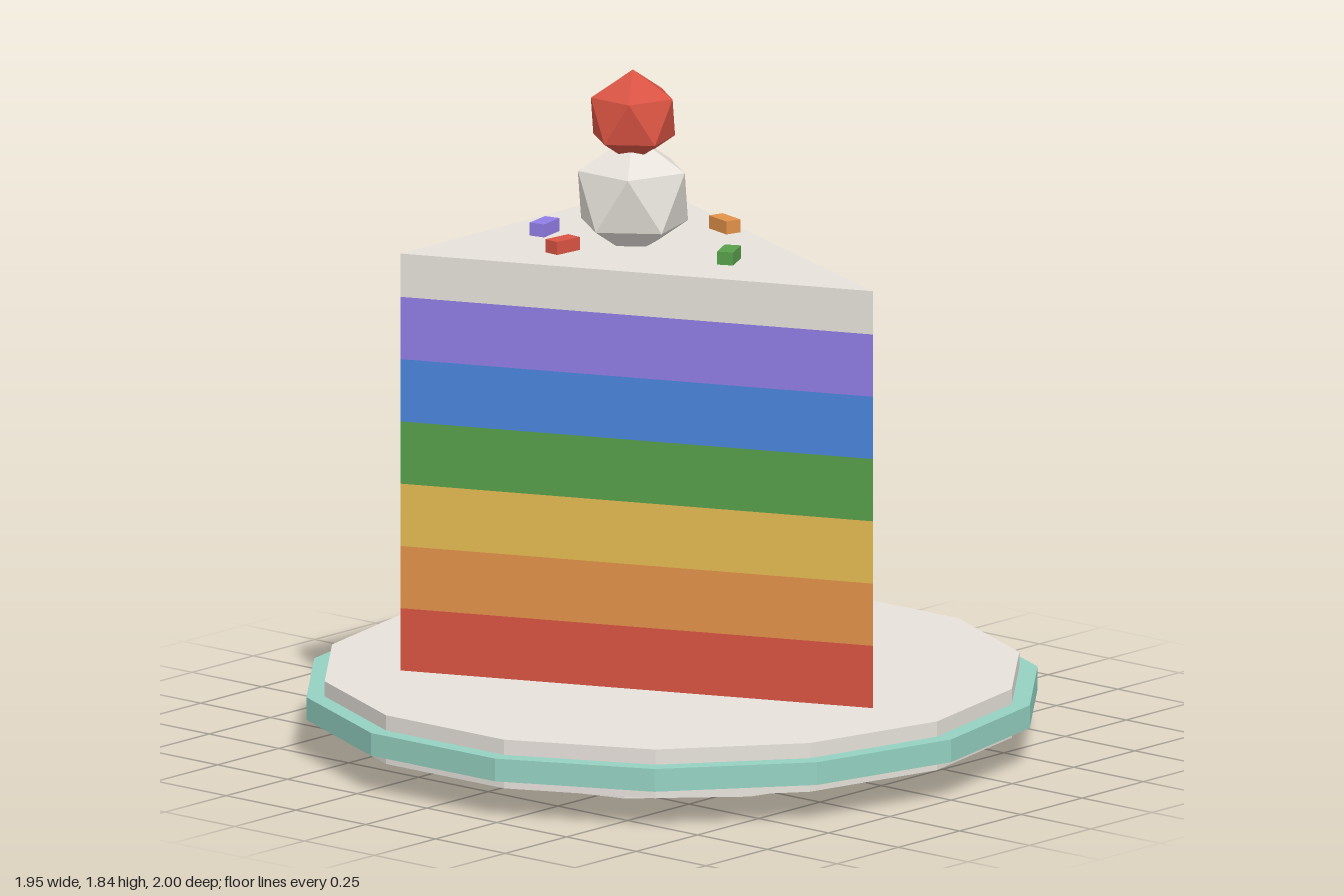
import * as THREE from 'three';

const mat = (name, color) => {
  const m = new THREE.MeshStandardMaterial({ color });
  m.name = name;
  return m;
};

export function createModel() {
  const cake = new THREE.Group();
  cake.name = 'cakeSlice';

  const red = mat('red', 0xd95443);
  const orange = mat('orange', 0xe29249);
  const yellow = mat('yellow', 0xe4bb53);
  const green = mat('green', 0x589f4c);
  const blue = mat('blue', 0x4a86dc);
  const purple = mat('purple', 0x907de6);
  const cream = mat('cream', 0xe6e1da);
  const mint = mat('mint', 0x94d1c1);

  function add(name, geometry, material, x = 0, y = 0, z = 0) {
    const flat = geometry.index ? geometry.toNonIndexed() : geometry;
    flat.computeVertexNormals(); // one normal per facet
    const mesh = new THREE.Mesh(flat, material);
    mesh.name = name;
    mesh.position.set(x, y, z);
    cake.add(mesh);
    return mesh;
  }

  // Faceted plate: foot, body and coloured rim
  const disc = (name, radius, bottom, top, sides, material) =>
    add(name, new THREE.CylinderGeometry(radius, radius, top - bottom, sides), material, 0, (bottom + top) / 2);
  disc('plateFoot', 0.655, 0, 0.075, 12, cream);
  disc('plate', 0.95, 0.075, 0.21, 14, cream);
  disc('plateRim', 1, 0.105, 0.168, 14, mint);

  // Wedge: six sponge layers and the icing
  const wedge = new THREE.Shape([
    new THREE.Vector2(-0.515, 0.52),
    new THREE.Vector2(0, -0.72),
    new THREE.Vector2(0.515, 0.52),
  ]);
  const layer = (name, bottom, height, material) => {
    const geometry = new THREE.ExtrudeGeometry(wedge, { depth: height, bevelEnabled: false });
    geometry.rotateX(-Math.PI / 2);
    add(name, geometry, material, 0, bottom);
  };
  const step = 0.1725;
  [red, orange, yellow, green, blue, purple].forEach((m, i) =>
    layer(m.name + 'Layer', 0.21 + i * step, step, m));
  layer('icing', 0.21 + 6 * step, 0.12, cream);

  // Cream dollop and cherry, each with one corner pointing up
  const tilt = -Math.atan(2 / (1 + Math.sqrt(5)));
  const ball = (name, radius, y, material) =>
    add(name, new THREE.IcosahedronGeometry(radius, 0).rotateZ(tilt), material, 0, y, -0.14);
  ball('creamDollop', 0.17, 1.493, cream);
  ball('cherry', 0.13, 1.712, red);

  // Sprinkles: material, x, z, turn in degrees
  [
    [purple, -0.085, -0.382, 12],
    [blue, 0.173, -0.315, 58],
    [red, -0.206, -0.211, -5],
    [orange, 0.26, 0.04 * -1, 75],
    [green, 0, 0.204, 27],
  ].forEach(([m, x, z, turn]) => {
    const sprinkle = add(m.name + 'Sprinkle', new THREE.BoxGeometry(0.085, 0.04, 0.045), m, x, 1.381, z);
    sprinkle.rotation.y = THREE.MathUtils.degToRad(turn);
  });

  return cake;
}
